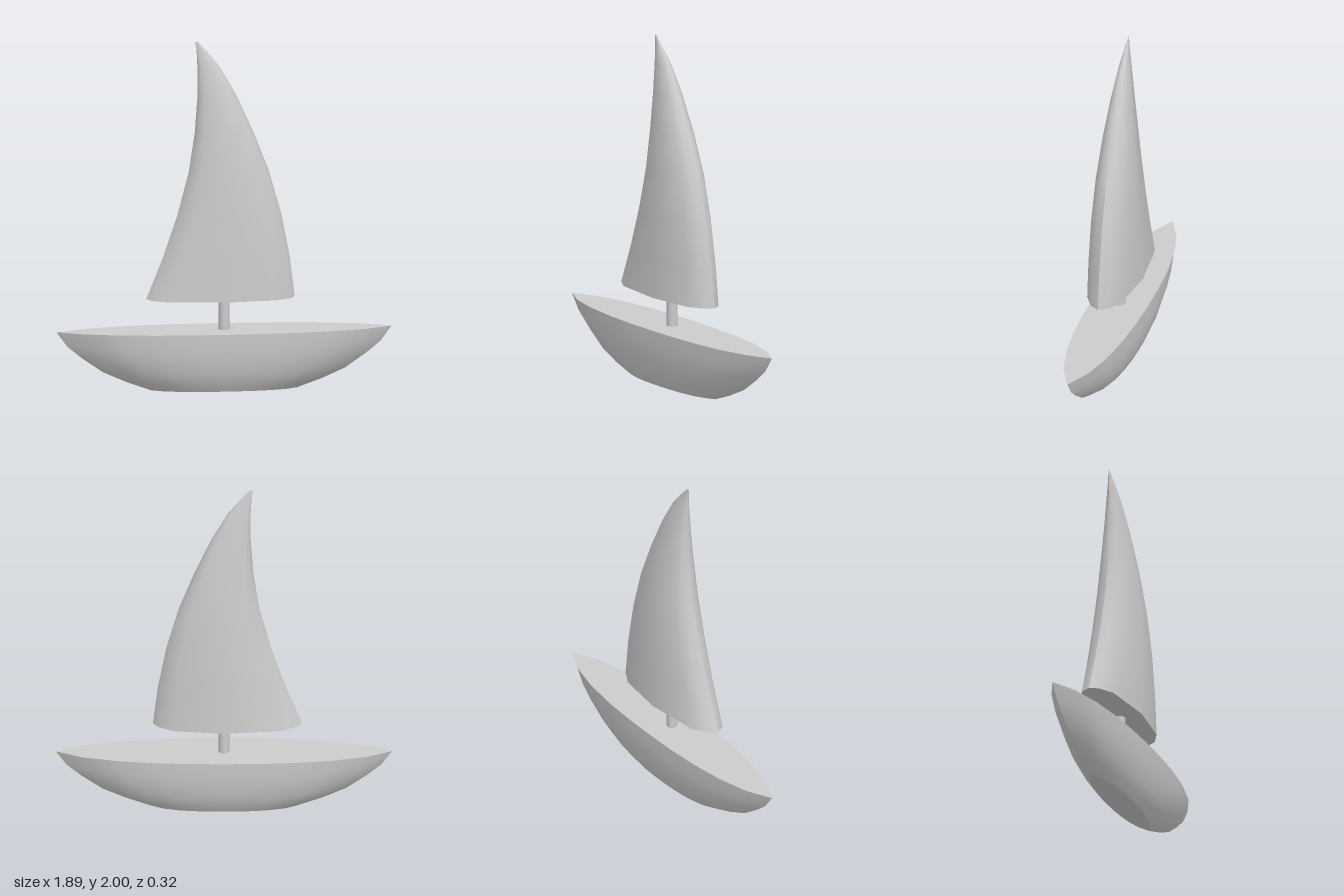
import * as THREE from 'three';
import { mergeGeometries, toCreasedNormals } from 'three/addons/utils/BufferGeometryUtils.js';

const material = new THREE.MeshStandardMaterial({ color: 0xcccccc });

const toGeometry = (points) => new THREE.BufferGeometry().setFromPoints(points);

// Stacks scaled copies of one plan outline; levels are [y, xMin, xMax, halfWidth].
// The half outline runs from [-1, 0] to [1, 0] and is mirrored in z.
function loft(half, levels) {
  const outline = [...half, ...half.slice(1, -1).reverse().map(([x, z]) => [x, -z])];
  const rings = levels.map(([y, a, b, w]) => outline.map(([x, z]) =>
    new THREE.Vector3((a + b) / 2 + x * (b - a) / 2, y, z * w)));
  const n = outline.length, side = [], caps = [];
  for (let i = 0; i < rings.length - 1; i++) {
    for (let j = 0; j < n; j++) {
      const k = (j + 1) % n, low = rings[i], high = rings[i + 1];
      side.push(low[j], low[k], high[k], low[j], high[k], high[j]);
    }
  }
  // Flat ends, kept apart from the sides so their rims stay sharp
  const bottom = rings[0], top = rings[rings.length - 1];
  const middle = ([y, a, b]) => new THREE.Vector3((a + b) / 2, y, 0);
  for (let j = 0; j < n; j++) {
    const k = (j + 1) % n;
    caps.push(middle(levels[0]), bottom[k], bottom[j]);
    caps.push(middle(levels[levels.length - 1]), top[j], top[k]);
  }
  const capGeometry = toGeometry(caps);
  capGeometry.computeVertexNormals();
  return mergeGeometries([toCreasedNormals(toGeometry(side), 0.7), capGeometry]);
}

function addPart(group, name, geometry) {
  const mesh = new THREE.Mesh(geometry, material);
  mesh.name = name;
  group.add(mesh);
  return mesh;
}

export function createModel() {
  const group = new THREE.Group();
  group.name = 'sailboat';

  // Hull: pointed at both ends, flat deck and flat bottom
  const hullHalf = [[-1, 0], [-0.84, 0.46], [-0.635, 0.75], [-0.423, 0.91], [-0.2, 0.985], [0, 1],
    [0.2, 0.985], [0.423, 0.91], [0.635, 0.75], [0.84, 0.46], [1, 0]];
  const hullLevels = [[0, 0.41, 0.075], [0.05, 0.55, 0.108], [0.11, 0.685, 0.131],
    [0.19, 0.8, 0.149], [0.26, 0.885, 0.157], [0.345, 0.947, 0.16]];
  addPart(group, 'hull', loft(hullHalf, hullLevels.map(([y, x, w]) => [y, -x, x, w])));

  // Sail: solid, tapering to a swept tip
  const sailHalf = [[-1, 0], [-0.93, 0.38], [-0.72, 0.75], [0.04, 1],
    [0.72, 0.75], [0.93, 0.38], [1, 0]];
  addPart(group, 'sail', loft(sailHalf, [
    [0.525, -0.44, 0.4, 0.135], [0.75, -0.35, 0.373, 0.13], [1, -0.265, 0.325, 0.122],
    [1.25, -0.2, 0.255, 0.108], [1.48, -0.165, 0.165, 0.086], [1.69, -0.15, 0.07, 0.058],
    [1.85, -0.15, -0.02, 0.032], [1.95, -0.155, -0.1, 0.011], [2, -0.162, -0.146, 0.001],
  ]));

  // Mast: short post joining the deck and the sail
  addPart(group, 'mast', new THREE.CylinderGeometry(0.03, 0.03, 0.22, 16)).position.y = 0.435;

  return group;
}
